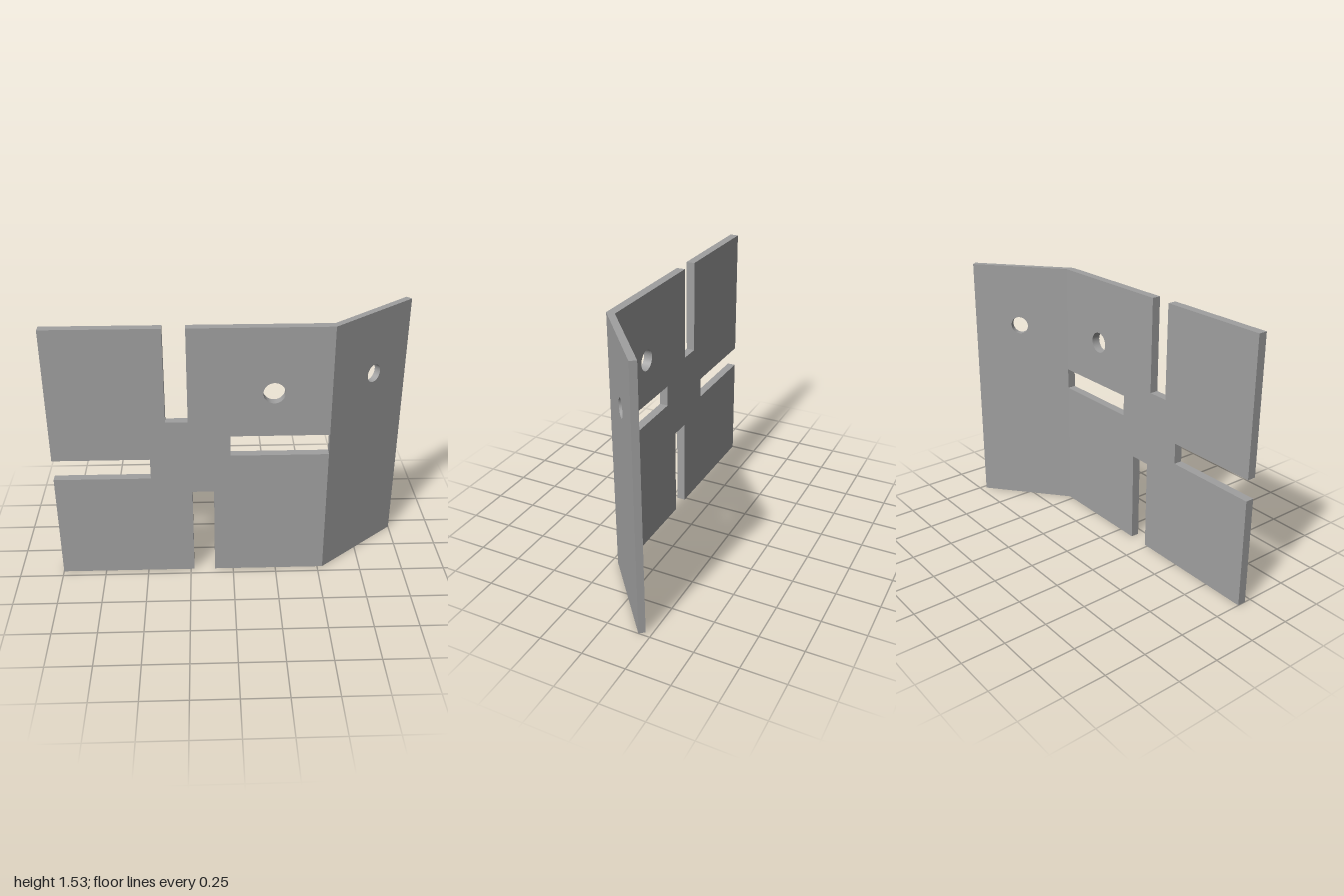
import * as THREE from 'three';

const HEIGHT = 1.53, BEND_X = 0.53, FRONT_Z = 0.21, PLATE_T = 0.05;
const ANGLE = THREE.MathUtils.degToRad(40);
const FLANGE_T = PLATE_T * Math.cos(ANGLE);
const FLANGE_LENGTH = 0.614;

// Sheet outline with round holes given as [x, y, radius], extruded along z
function sheet(points, holes, depth) {
  const shape = new THREE.Shape(points.map(([x, y]) => new THREE.Vector2(x, y)));
  for (const [x, y, r] of holes) {
    shape.holes.push(new THREE.Path().absarc(x, y, r, 0, Math.PI * 2, true));
  }
  return new THREE.ExtrudeGeometry(shape, { depth, bevelEnabled: false, curveSegments: 40 });
}

export function createModel() {
  const model = new THREE.Group();
  model.name = 'slottedBracket';
  const steel = new THREE.MeshStandardMaterial({ color: 0xa0a0a0 });
  steel.name = 'grey metal';

  // Flat plate with one slot cut in from each edge
  const outline = [
    [-1, 0], [-0.23, 0], [-0.23, 0.543], [-0.108, 0.543], [-0.108, 0],
    [BEND_X, 0], [BEND_X, 0.775], [-0.015, 0.775], [-0.015, 0.897], [BEND_X, 0.897],
    [BEND_X, HEIGHT], [-0.246, HEIGHT], [-0.246, 0.988], [-0.368, 0.988], [-0.368, HEIGHT],
    [-1, HEIGHT], [-1, 0.758], [-0.46, 0.758], [-0.46, 0.636], [-1, 0.636],
  ];
  const plate = new THREE.Mesh(sheet(outline, [[0.22, 1.155, 0.06]], PLATE_T), steel);
  plate.name = 'slottedPlate';
  plate.position.z = FRONT_Z - PLATE_T;
  model.add(plate);

  // Flange bent backwards, with its inner edge mitred to meet the plate
  const flangeGeometry = sheet(
    [[0, 0], [FLANGE_LENGTH, 0], [FLANGE_LENGTH, HEIGHT], [0, HEIGHT]],
    [[0.335, 1.163, 0.052]], FLANGE_T);
  flangeGeometry.translate(0, 0, -FLANGE_T);
  const pos = flangeGeometry.attributes.position;
  for (let i = 0; i < pos.count; i++) {
    if (pos.getX(i) < 1e-5 && pos.getZ(i) < -1e-5) pos.setX(i, PLATE_T * Math.sin(ANGLE));
  }
  flangeGeometry.computeVertexNormals();
  const flange = new THREE.Mesh(flangeGeometry, steel);
  flange.name = 'bentFlange';
  flange.rotation.y = ANGLE;
  flange.position.set(BEND_X, 0, FRONT_Z);
  model.add(flange);

  return model;
}
